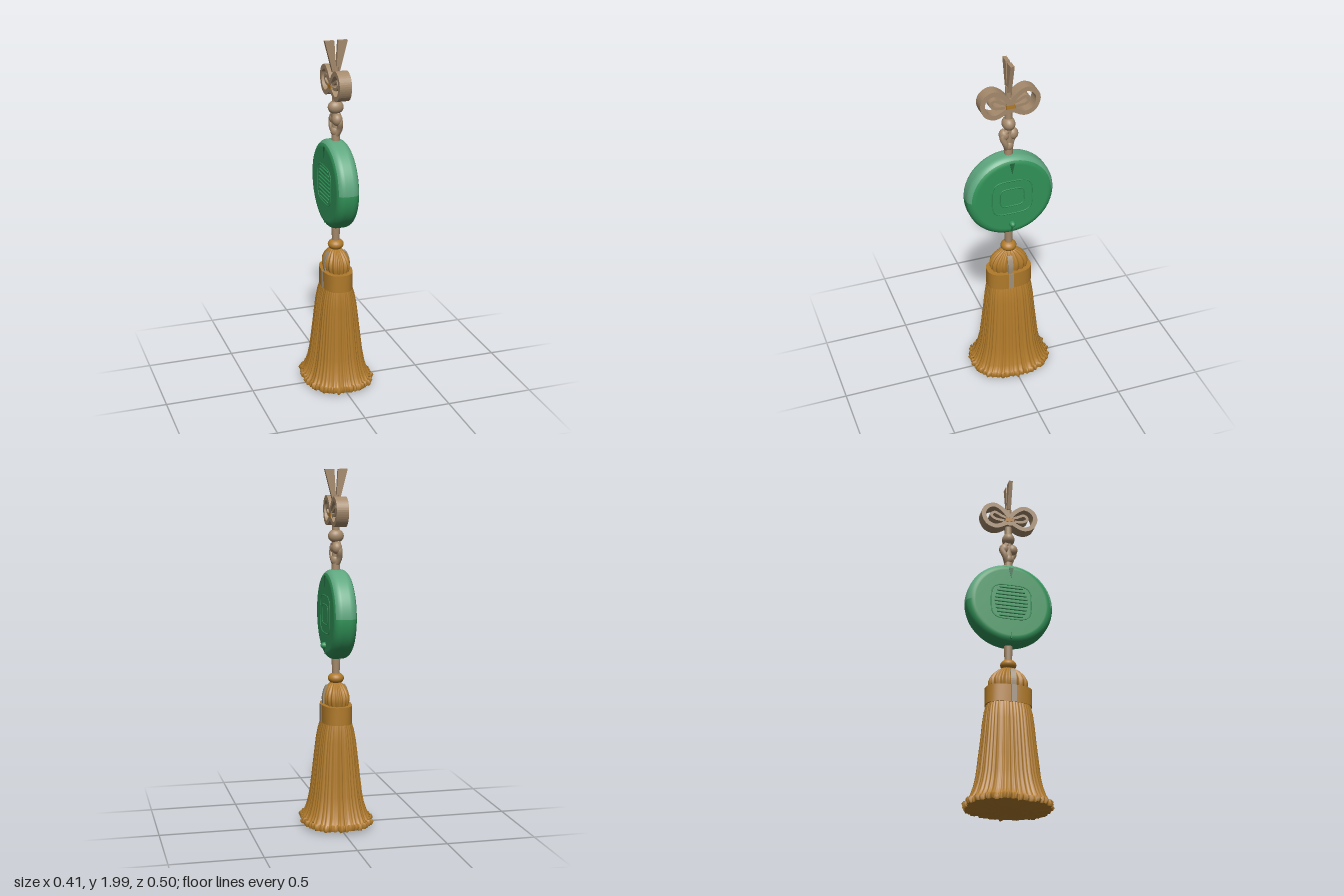
import * as THREE from 'three';

const mat = (name, color, side = THREE.FrontSide) => {
  const m = new THREE.MeshStandardMaterial({ color, side });
  m.name = name;
  return m;
};

export function createModel() {
  const root = new THREE.Group();
  root.name = 'tasselCharm';
  const tan = mat('cord tan', 0xa58a6c);
  const ochre = mat('tassel ochre', 0xb07a2a);
  const green = mat('jade green', 0x319258);
  const pale = mat('pale jade', 0x5fa880);
  const dark = mat('groove green', 0x24683f);
  const grey = mat('faded thread', 0xa0917c);

  const add = (name, geo, material, x = 0, y = 0, z = 0, parent = root) => {
    const m = new THREE.Mesh(geo, material);
    m.name = name;
    m.position.set(x, y, z);
    parent.add(m);
    return m;
  };
  const ball = (name, material, y, rx, ry, rz, x = 0, z = 0) =>
    add(name, new THREE.SphereGeometry(1, 24, 16), material, x, y, z).scale.set(rx, ry, rz);

  // seeded noise for the threads
  let seed = 7;
  const rand = () => (seed = (seed * 16807) % 2147483647) / 2147483647;

  // rounded-rectangle loft; rows are [y, rx, rz, pleat depth], bottom to top
  function loft(rows, segs, pleat = () => 0, lift = () => 0) {
    const pos = [], idx = [];
    rows.forEach(([y, rx, rz, depth = 0, jag = 0]) => {
      for (let j = 0; j < segs; j++) {
        const a = (j / segs) * Math.PI * 2, c = Math.cos(a), s = Math.sin(a);
        const k = Math.pow(Math.abs(c) ** 2.5 + Math.abs(s) ** 2.5, -1 / 2.5);
        const d = depth * pleat(j);
        pos.push(c * (rx * k + d), y + jag * lift(j), s * (rz * k + d));
      }
    });
    for (let i = 0; i < rows.length - 1; i++) for (let j = 0; j < segs; j++) {
      const n = (j + 1) % segs, a = i * segs + j, b = i * segs + n;
      idx.push(a, a + segs, b, b, a + segs, b + segs);
    }
    const g = new THREE.BufferGeometry();
    g.setAttribute('position', new THREE.Float32BufferAttribute(pos, 3));
    g.setIndex(idx);
    g.computeVertexNormals();
    return g;
  }

  // flat ribbon of given thickness swept along a 2D curve, extruded to a width
  function band(points, thick, width, steps = 40) {
    const curve = new THREE.SplineCurve(points.map(p => new THREE.Vector2(...p)));
    const outer = [], inner = [];
    for (let i = 0; i <= steps; i++) {
      const p = curve.getPoint(i / steps), t = curve.getTangent(i / steps);
      const n = new THREE.Vector2(-t.y, t.x).multiplyScalar(thick / 2);
      outer.push(p.clone().add(n));
      inner.unshift(p.clone().sub(n));
    }
    return new THREE.ExtrudeGeometry(new THREE.Shape([...outer, ...inner]),
      { depth: width, bevelEnabled: false }).translate(0, 0, -width / 2);
  }

  // tassel skirt with irregular pleats and a ragged hem
  const segs = 288;
  const noise = Array.from({ length: segs }, rand);
  const pleat = j => 0.6 * Math.sin((j / segs) * Math.PI * 2 * 48) + (noise[j] - 0.5)
    + 0.5 * Math.sin((j / segs) * Math.PI * 2 * 17 + 1);
  const lift = j => noise[(j >> 2) * 4] - 0.5;
  add('tasselSkirt', loft([
    [0.006, 0.001, 0.001], [0.012, 0.1, 0.12], [0.022, 0.188, 0.226, 0.006, 0.01],
    [0.022, 0.188, 0.226, 0.006, 0.01], [0.04, 0.194, 0.232, 0.009, 0.018],
    [0.056, 0.186, 0.222, 0.009, 0.012], [0.056, 0.178, 0.214, 0.006],
    [0.09, 0.163, 0.197, 0.005], [0.14, 0.149, 0.181, 0.004], [0.2, 0.138, 0.168, 0.004],
    [0.3, 0.126, 0.157, 0.004], [0.4, 0.116, 0.147, 0.003], [0.5, 0.104, 0.138, 0.003],
    [0.56, 0.094, 0.131, 0.002], [0.61, 0.08, 0.12, 0.001],
  ], segs, pleat, lift), ochre);

  // collar band (doubled rows keep its rims sharp)
  add('tasselCollar', loft([
    [0.6, 0.001, 0.001], [0.6, 0.084, 0.13], [0.6, 0.084, 0.13],
    [0.7, 0.084, 0.13], [0.7, 0.084, 0.13], [0.7, 0.001, 0.001],
  ], 72), ochre);

  // gathered cap above the collar
  add('tasselCap', loft([
    [0.69, 0.058, 0.098, 0.003], [0.72, 0.066, 0.106, 0.004], [0.75, 0.066, 0.105, 0.005],
    [0.78, 0.056, 0.088, 0.005], [0.805, 0.042, 0.062, 0.004],
    [0.822, 0.028, 0.036, 0.002], [0.828, 0.001, 0.001],
  ], 144, j => Math.sin((j / 144) * Math.PI * 2 * 18)), ochre);
  ball('capBead', ochre, 0.846, 0.045, 0.032, 0.045);

  // faded thread strips on both broad sides
  for (const s of [1, -1]) {
    const strip = new THREE.Group();
    strip.name = 'fadedStrip';
    add('collarStrip', new THREE.BoxGeometry(0.006, 0.1, 0.03), grey, 0.084, 0.65, 0.012 * s, strip);
    add('capStrip', band([[0.069, 0.7], [0.071, 0.74], [0.062, 0.78], [0.049, 0.805]], 0.008, 0.03, 12),
      grey, 0, 0, 0.012 * s, strip);
    strip.rotation.y = s > 0 ? 0 : Math.PI;
    root.add(strip);
  }

  // cords above and below the disc
  add('lowerCord', new THREE.CylinderGeometry(0.026, 0.02, 0.13, 16), tan, 0, 0.915, 0);
  add('upperCord', new THREE.CylinderGeometry(0.02, 0.024, 0.3, 16), tan, 0, 1.58, 0);

  // jade disc: lathe about x, upper rim paler
  const disc = new THREE.Group();
  disc.name = 'jadeDisc';
  disc.position.set(-0.003, 1.205, 0);
  root.add(disc);
  const corner = s => Array.from({ length: 9 }, (_, i) => {
    const a = (i / 8) * Math.PI / 2;
    return new THREE.Vector2(0.203 + 0.045 * Math.cos(a), s * (0.02 + 0.044 * Math.sin(a)));
  });
  const right = corner(1), left = corner(-1).reverse();
  const lathe = (name, pts, m, start, len) => {
    add(name, new THREE.LatheGeometry(pts, 72, start, len), m, 0, 0, 0, disc).rotation.z = -Math.PI / 2;
  };
  const profile = [new THREE.Vector2(0.0001, -0.064), new THREE.Vector2(0.1, -0.064), ...left,
    ...right, new THREE.Vector2(0.1, 0.064), new THREE.Vector2(0.0001, 0.064)];
  lathe('discLowerHalf', profile, green, 0, Math.PI);
  lathe('discUpperRim', profile.slice(5, -5), pale, Math.PI, Math.PI);
  lathe('discUpperFaceLeft', profile.slice(0, 6), green, Math.PI, Math.PI);
  lathe('discUpperFaceRight', profile.slice(-6), green, Math.PI, Math.PI);

  // carved relief rings on both faces
  const ring = (x, rz, ry, t) => {
    const pts = Array.from({ length: 32 }, (_, i) => {
      const a = (i / 32) * Math.PI * 2, c = Math.cos(a), s = Math.sin(a);
      const k = Math.pow(c ** 4 + s ** 4, -0.25);
      return new THREE.Vector3(x, ry * k * s, rz * k * c);
    });
    add('reliefRing', new THREE.TubeGeometry(new THREE.CatmullRomCurve3(pts, true), 64, t, 6, true),
      green, 0, 0, 0, disc);
  };
  for (const x of [0.063, -0.063]) {
    ring(x, 0.115, 0.105, 0.004);
    // tapered cord groove at the top, short one at the bottom
    const wedge = new THREE.Shape([[-0.014, 0.215], [0, 0.15], [0.014, 0.215]].map(p => new THREE.Vector2(...p)));
    const g = new THREE.ExtrudeGeometry(wedge, { depth: 0.006, bevelEnabled: false });
    add('topGroove', g.translate(0, 0, -0.003).rotateY(Math.PI / 2), dark, x, 0, 0, disc);
    add('bottomGroove', new THREE.BoxGeometry(0.006, 0.035, 0.006), dark, x, -0.205, 0, disc);
  }
  ring(0.063, 0.07, 0.055, 0.004);
  for (let i = -4; i <= 4; i++) {
    const len = 0.18 * Math.sqrt(1 - (i / 5.5) ** 2);
    add('carvedRidge', new THREE.CapsuleGeometry(0.006, len, 4, 8), green, -0.063, i * 0.022, 0, disc)
      .rotation.x = Math.PI / 2;
  }
  ball('discKnob', green, 1.032, 0.024, 0.018, 0.018, 0.064);

  // knots between disc and bow
  ball('roundKnot', tan, 1.637, 0.044, 0.038, 0.036);
  for (const s of [1, -1]) {
    ball('heartKnotLobe', tan, 1.572, 0.029, 0.034, 0.03, 0, 0.024 * s);
    const strand = new THREE.CatmullRomCurve3([[0.008, 1.6, 0.01], [0.012, 1.56, 0.036],
      [0.014, 1.52, 0.022], [0, 1.48, 0.006]].map(([x, y, z]) => new THREE.Vector3(x * s, y, z * s)));
    add('heartKnotStrand', new THREE.TubeGeometry(strand, 20, 0.017, 10), tan);
  }
  ball('neckKnot', tan, 1.505, 0.03, 0.034, 0.026);

  // bow: outer loop and inner curl on each side
  for (const s of [1, -1]) {
    const bow = new THREE.Group();
    bow.name = 'bowSide';
    const loop = [[0, 1.768], [0.04, 1.816], [0.09, 1.842], [0.138, 1.82], [0.154, 1.775],
      [0.132, 1.723], [0.085, 1.703], [0.035, 1.722], [0, 1.75]];
    const curl = [[0, 1.768], [0.04, 1.776], [0.085, 1.797], [0.108, 1.778], [0.085, 1.755], [0.03, 1.748]];
    add('bowLoop', band(loop, 0.026, 0.068).rotateY(-Math.PI / 2), tan, 0, 0, 0, bow);
    add('bowCurl', band(curl, 0.016, 0.056).rotateY(-Math.PI / 2), tan, 0, 0, 0, bow);
    bow.rotation.y = s > 0 ? 0 : Math.PI;
    root.add(bow);
    add('bowAccent', new THREE.BoxGeometry(0.006, 0.022, 0.05), ochre, 0.034 * s, 1.752, 0);

    // ribbon tail
    const tail = [[0, 1.83], [0.02 * s, 1.83], [0.064 * s, 2], [0.011 * s, 2]].map(p => new THREE.Vector2(...p));
    const g = new THREE.ExtrudeGeometry(new THREE.Shape(tail), { depth: 0.022, bevelEnabled: false });
    add('ribbonTail', g, tan, 0, 0, -0.011);
  }
  add('bowKnot', new THREE.BoxGeometry(0.066, 0.08, 0.04), tan, 0, 1.757, 0);
  add('bowStem', new THREE.CylinderGeometry(0.018, 0.02, 0.16, 12), tan, 0, 1.78, 0);

  return root;
}
